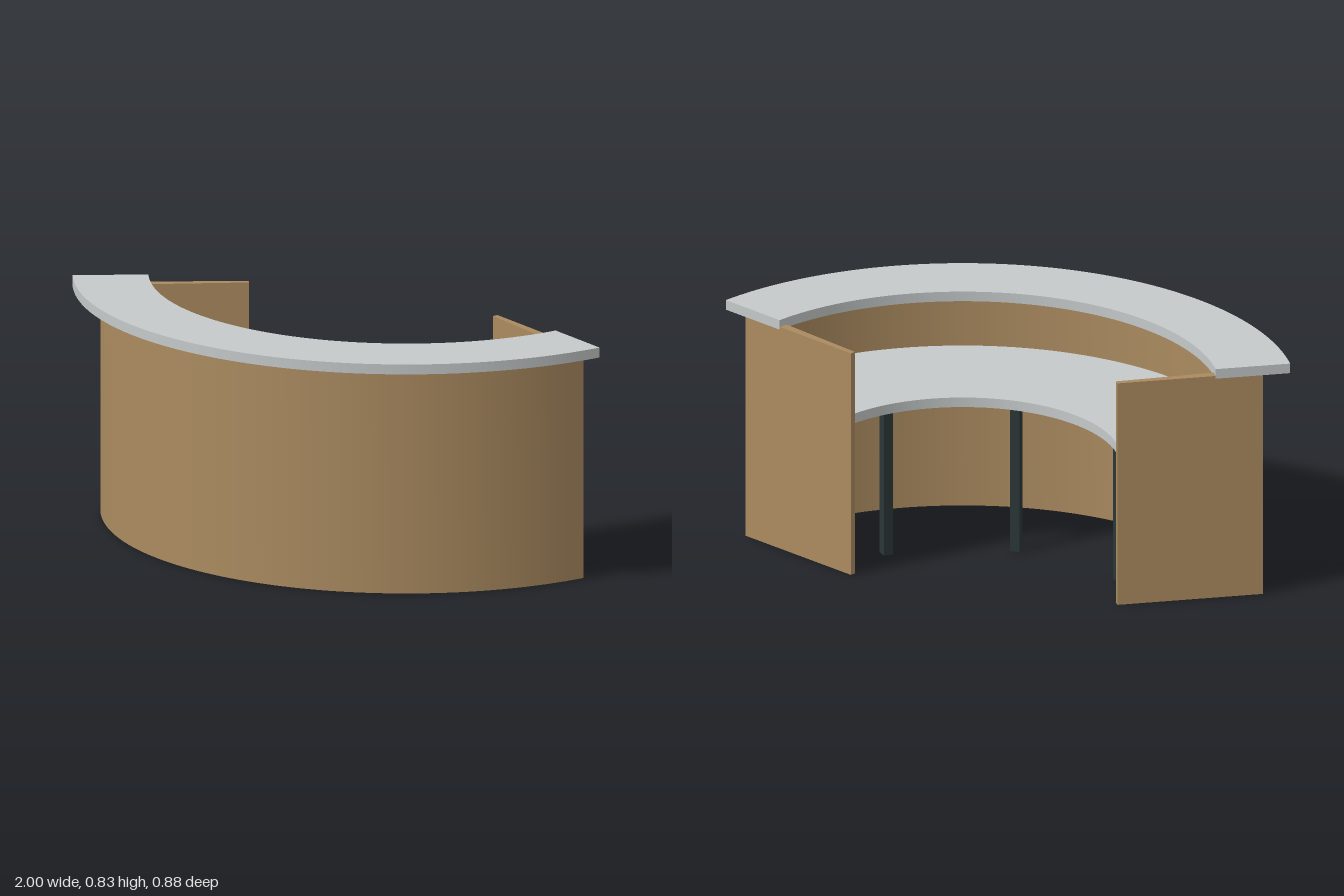
import * as THREE from 'three';
import { toCreasedNormals } from 'three/addons/utils/BufferGeometryUtils.js';

const CENTER_Z = -0.693;                       // common centre of all arcs
const HALF = THREE.MathUtils.degToRad(61.9);   // half opening angle
const PANEL = THREE.MathUtils.degToRad(2.1);   // angular thickness of end panels

// Ring sector between two radii and two angles (0 = front), from y0 to y1
function arcSlab(rIn, rOut, a0, a1, y0, y1, segments = 56) {
  const shape = new THREE.Shape();
  shape.absarc(0, 0, rOut, Math.PI / 2 - a1, Math.PI / 2 - a0, false);
  shape.absarc(0, 0, rIn, Math.PI / 2 - a0, Math.PI / 2 - a1, true);
  shape.closePath();
  const geo = new THREE.ExtrudeGeometry(shape, { depth: y1 - y0, bevelEnabled: false, curveSegments: segments });
  geo.rotateX(Math.PI / 2);
  geo.translate(0, y1, CENTER_Z);
  return toCreasedNormals(geo, 0.5);
}

export function createModel() {
  const wood = new THREE.MeshStandardMaterial({ color: 0xab8b60 });
  wood.name = 'wood';
  const stone = new THREE.MeshStandardMaterial({ color: 0xc5c9c9 });
  stone.name = 'lightGrey';
  const metal = new THREE.MeshStandardMaterial({ color: 0x2b3636 });
  metal.name = 'darkMetal';

  const model = new THREE.Group();
  model.name = 'receptionDesk';
  const add = (name, geo, material, parent = model) => {
    const mesh = new THREE.Mesh(geo, material);
    mesh.name = name;
    parent.add(mesh);
    return mesh;
  };

  // Raised counter, work surface and curved front wall
  const inner = HALF - PANEL;
  add('counterTop', arcSlab(0.875, 1.133, -HALF, HALF, 0.8, 0.835), stone);
  add('workSurface', arcSlab(0.535, 1.006, -inner, inner, 0.55, 0.585), stone);
  add('frontWall', arcSlab(1.006, 1.038, -inner, inner, 0, 0.8), wood);

  // End panels, slightly lower where they run beneath the counter
  for (const [side, a0, a1] of [['left', inner, HALF], ['right', -HALF, -inner]]) {
    const panel = new THREE.Group();
    panel.name = side + 'EndPanel';
    add('innerPanel', arcSlab(0.535, 0.875, a0, a1, 0, 0.81, 1), wood, panel);
    add('outerPanel', arcSlab(0.875, 1.038, a0, a1, 0, 0.8, 1), wood, panel);
    model.add(panel);
  }

  // Square legs under the work surface, turned to face the arc centre
  const legGeo = new THREE.BoxGeometry(0.034, 0.55, 0.034);
  for (const degrees of [-41, 0, 41]) {
    const a = THREE.MathUtils.degToRad(degrees);
    const leg = add('leg', legGeo, metal);
    leg.position.set(0.63 * Math.sin(a), 0.275, CENTER_Z + 0.63 * Math.cos(a));
    leg.rotation.y = a;
  }
  return model;
}
